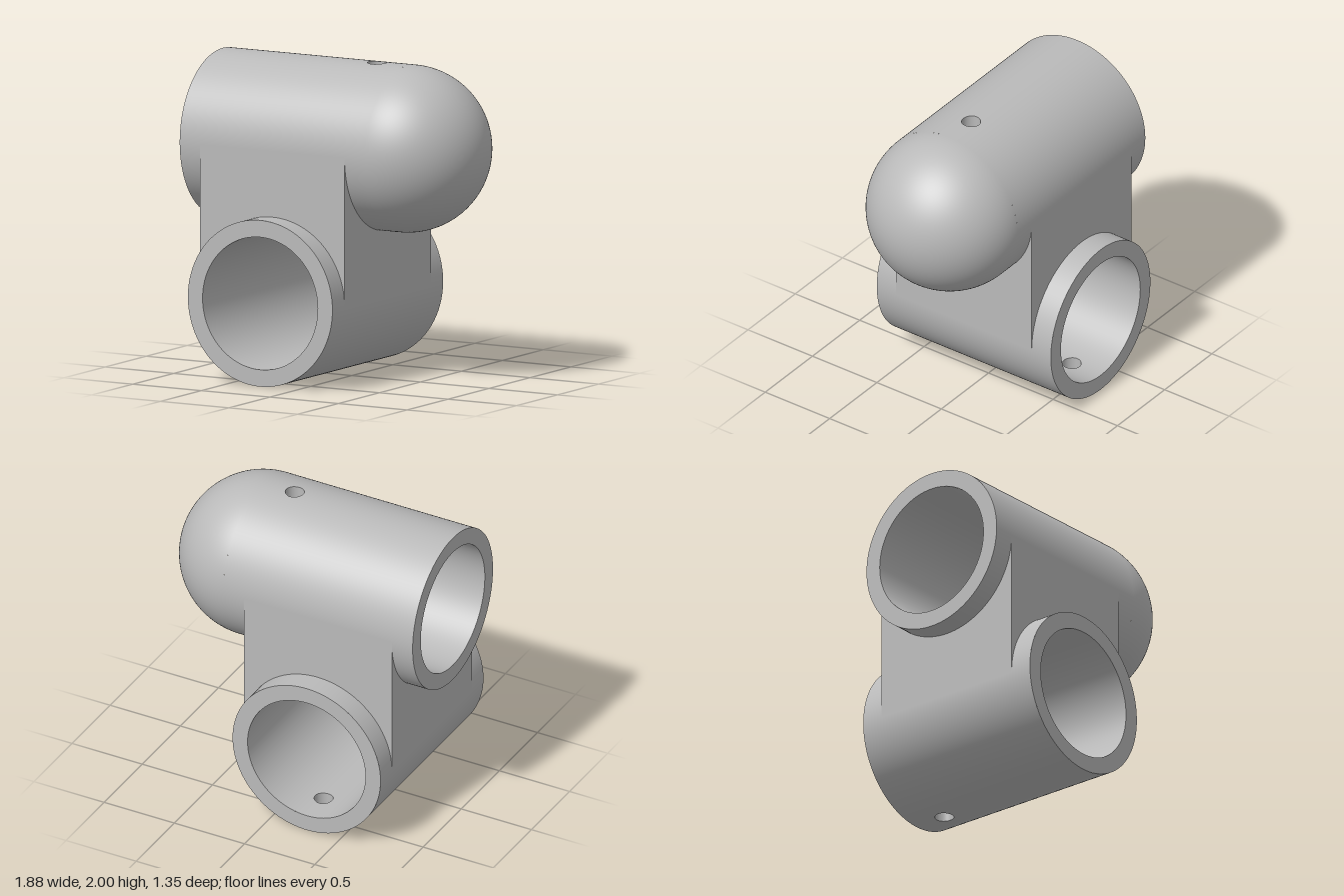
import * as THREE from 'three';
import { mergeGeometries } from 'three/addons/utils/BufferGeometryUtils.js';

const R = 0.527, BORE = 0.42, HOLE = 0.06, PATCH = 0.1; // tube, bore and pin hole radii
const LOW_Y = R, HIGH_Y = 2 - R, LOW_X = -0.265;
const DOME_X = 0.41, OPEN_X = -0.94, HALF_Z = 0.675;

// Curved sheet: fn(u, v) returns [position, normal]
function sheet(nu, nv, fn) {
  const g = new THREE.PlaneGeometry(1, 1, nu, nv);
  const { position, normal, uv } = g.attributes;
  for (let i = 0; i < position.count; i++) {
    const [p, n] = fn(uv.getX(i), uv.getY(i));
    position.setXYZ(i, ...p);
    normal.setXYZ(i, ...n);
  }
  return g;
}

// Round wall along z with a pin hole on its +y side; side is 1 outside, -1 inside
function wall(r, z0, z1, holeZ, side) {
  const phi = Math.asin(PATCH / r);
  const arc = (za, zb, a0, a1, n) => sheet(1, n, (u, v) => {
    const a = a0 + (a1 - a0) * v, t = side > 0 ? u : 1 - u;
    const s = Math.sin(a), c = Math.cos(a);
    return [[r * s, r * c, za + (zb - za) * t], [side * s, side * c, 0]];
  });
  const patch = sheet(2, 64, (u, v) => {
    const a = v * Math.PI * 2, c = Math.cos(a), s = Math.sin(a);
    const edge = PATCH / Math.max(Math.abs(c), Math.abs(s));
    const d = HOLE + (edge - HOLE) * (side > 0 ? u : 1 - u);
    const x = d * c, y = Math.sqrt(r * r - x * x);
    return [[x, y, holeZ - d * s], [side * x / r, side * y / r, 0]];
  });
  return mergeGeometries([
    arc(z0, z1, phi, Math.PI * 2 - phi, 128),
    arc(z0, holeZ - PATCH, -phi, phi, 16),
    arc(holeZ + PATCH, z1, -phi, phi, 16),
    patch,
  ]);
}

// Lining of the pin hole between bore and outside
function pinHole(holeZ) {
  return sheet(1, 64, (u, v) => {
    const a = v * Math.PI * 2, c = Math.cos(a), s = Math.sin(a);
    const r = u > 0.5 ? R : BORE;
    return [[HOLE * c, Math.sqrt(r * r - (HOLE * c) ** 2), holeZ - HOLE * s], [-c, 0, s]];
  });
}

export function createModel() {
  const model = new THREE.Group();
  const grey = new THREE.MeshStandardMaterial({ color: 0xbababa });
  grey.name = 'grey';

  const add = (parent, name, geometry, z = 0, turn = 0) => {
    const mesh = new THREE.Mesh(geometry, grey);
    mesh.name = name;
    mesh.position.z = z;
    mesh.rotation.y = turn;
    parent.add(mesh);
    return mesh;
  };
  const tube = (name, z0, z1, holeZ) => {
    const g = new THREE.Group();
    g.name = name;
    add(g, 'outerWall', wall(R, z0, z1, holeZ, 1));
    add(g, 'bore', wall(BORE, z0, z1, holeZ, -1));
    add(g, 'pinHole', pinHole(holeZ));
    add(g, 'rim', new THREE.RingGeometry(BORE, R, 128), z0, Math.PI);
    model.add(g);
    return g;
  };

  // Upper socket along x, closed by a dome
  const upper = tube('upperSocket', OPEN_X, DOME_X, 0.185);
  upper.rotation.y = Math.PI / 2;
  upper.position.y = HIGH_Y;
  const dome = new THREE.SphereGeometry(R, 128, 48, 0, Math.PI * 2, 0, Math.PI / 2);
  add(upper, 'dome', dome.rotateX(Math.PI / 2), DOME_X);
  add(upper, 'boreEnd', new THREE.CircleGeometry(BORE, 128), DOME_X, Math.PI);

  // Lower sleeve along z, open at both ends, pin hole underneath
  const lower = tube('lowerSleeve', -HALF_Z, HALF_Z, -0.45);
  add(lower, 'frontRim', new THREE.RingGeometry(BORE, R, 128), HALF_Z);
  lower.rotation.z = Math.PI;
  lower.position.set(LOW_X, LOW_Y, 0);

  // Square neck: front and back end on the sleeve, sides end under the socket
  const neck = new THREE.Group();
  neck.name = 'neck';
  neck.position.x = LOW_X;
  const face = new THREE.Shape();
  face.moveTo(R, LOW_Y);
  face.lineTo(R, HIGH_Y);
  face.lineTo(-R, HIGH_Y);
  face.lineTo(-R, LOW_Y);
  face.absarc(0, LOW_Y, R, Math.PI, 0, true);
  const cheek = new THREE.Shape();
  cheek.moveTo(-R, HIGH_Y);
  cheek.lineTo(-R, LOW_Y);
  cheek.lineTo(R, LOW_Y);
  cheek.lineTo(R, HIGH_Y);
  cheek.absarc(0, HIGH_Y, R, 0, -Math.PI, true);
  for (const s of [1, -1]) {
    add(neck, s > 0 ? 'neckFront' : 'neckBack', new THREE.ShapeGeometry(face, 64), s * R, s > 0 ? 0 : Math.PI);
    const m = add(neck, s > 0 ? 'neckLeft' : 'neckRight', new THREE.ShapeGeometry(cheek, 64), 0, s * Math.PI / 2);
    m.position.x = s * R;
  }
  model.add(neck);
  return model;
}
